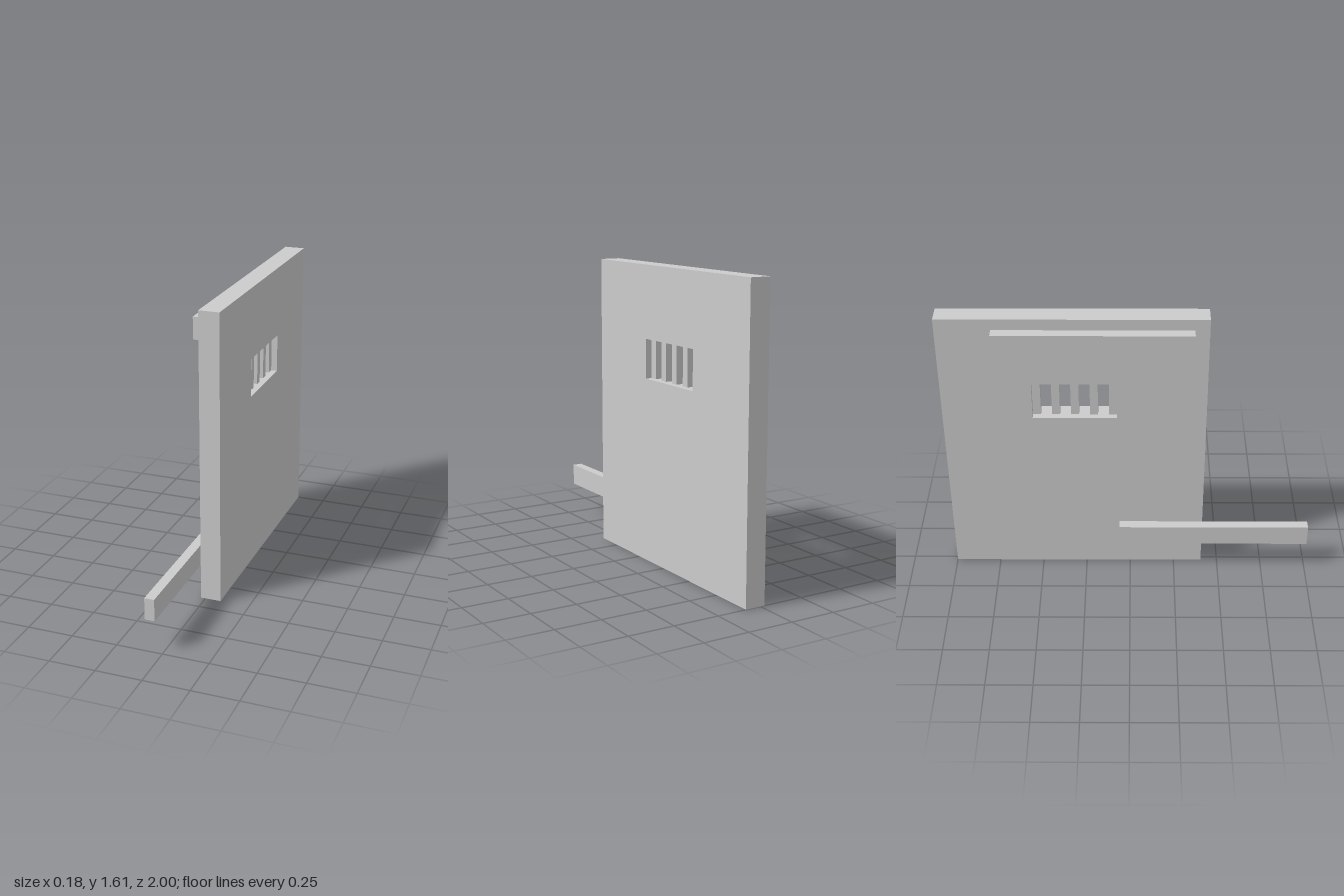
import * as THREE from 'three';

const material = new THREE.MeshStandardMaterial({ color: 0xcccccc, flatShading: true });

// Box given by its minimum and maximum corners
function block(name, [x0, y0, z0], [x1, y1, z1]) {
  const mesh = new THREE.Mesh(new THREE.BoxGeometry(x1 - x0, y1 - y0, z1 - z0), material);
  mesh.position.set((x0 + x1) / 2, (y0 + y1) / 2, (z0 + z1) / 2);
  mesh.name = name;
  return mesh;
}

// Rectangle traced in (-z, y), the plane of the door
function trace(path, z0, z1, y0, y1) {
  path.moveTo(-z1, y0);
  path.lineTo(-z0, y0);
  path.lineTo(-z0, y1);
  path.lineTo(-z1, y1);
  path.closePath();
  return path;
}

export function createModel() {
  const door = new THREE.Group();
  door.name = 'barredDoor';

  // Door slab with a window cut through it
  const xInner = -0.025, thickness = 0.112;
  const win = { z0: -0.52, z1: -0.07, y0: 1.005, y1: 1.218 };
  const outline = trace(new THREE.Shape(), -1, 0.407, 0, 1.61);
  outline.holes.push(trace(new THREE.Path(), win.z0, win.z1, win.y0, win.y1));
  const slabGeometry = new THREE.ExtrudeGeometry(outline, { depth: thickness, bevelEnabled: false });
  slabGeometry.rotateY(Math.PI / 2);
  slabGeometry.translate(xInner, 0, 0);
  const slab = new THREE.Mesh(slabGeometry, material);
  slab.name = 'doorSlab';
  door.add(slab);

  // Evenly spaced window bars, the outer two against the frame
  const bars = new THREE.Group();
  bars.name = 'windowBars';
  const count = 5, width = 0.043, xMid = xInner + thickness / 2;
  const pitch = (win.z1 - win.z0 - width) / (count - 1);
  for (let i = 0; i < count; i++) {
    const z = win.z0 + i * pitch;
    bars.add(block('windowBar', [xMid - width / 2, win.y0, z], [xMid + width / 2, win.y1, z + width]));
  }
  door.add(bars);

  // Upper rail and the sliding bolt below it
  door.add(block('upperRail', [-0.085, 1.43, -0.71], [-0.028, 1.55, 0.33]));
  door.add(block('slidingBolt', [-0.09, 0.18, 0.06 - 0.12], [-0.037, 0.3, 1]));
  return door;
}
